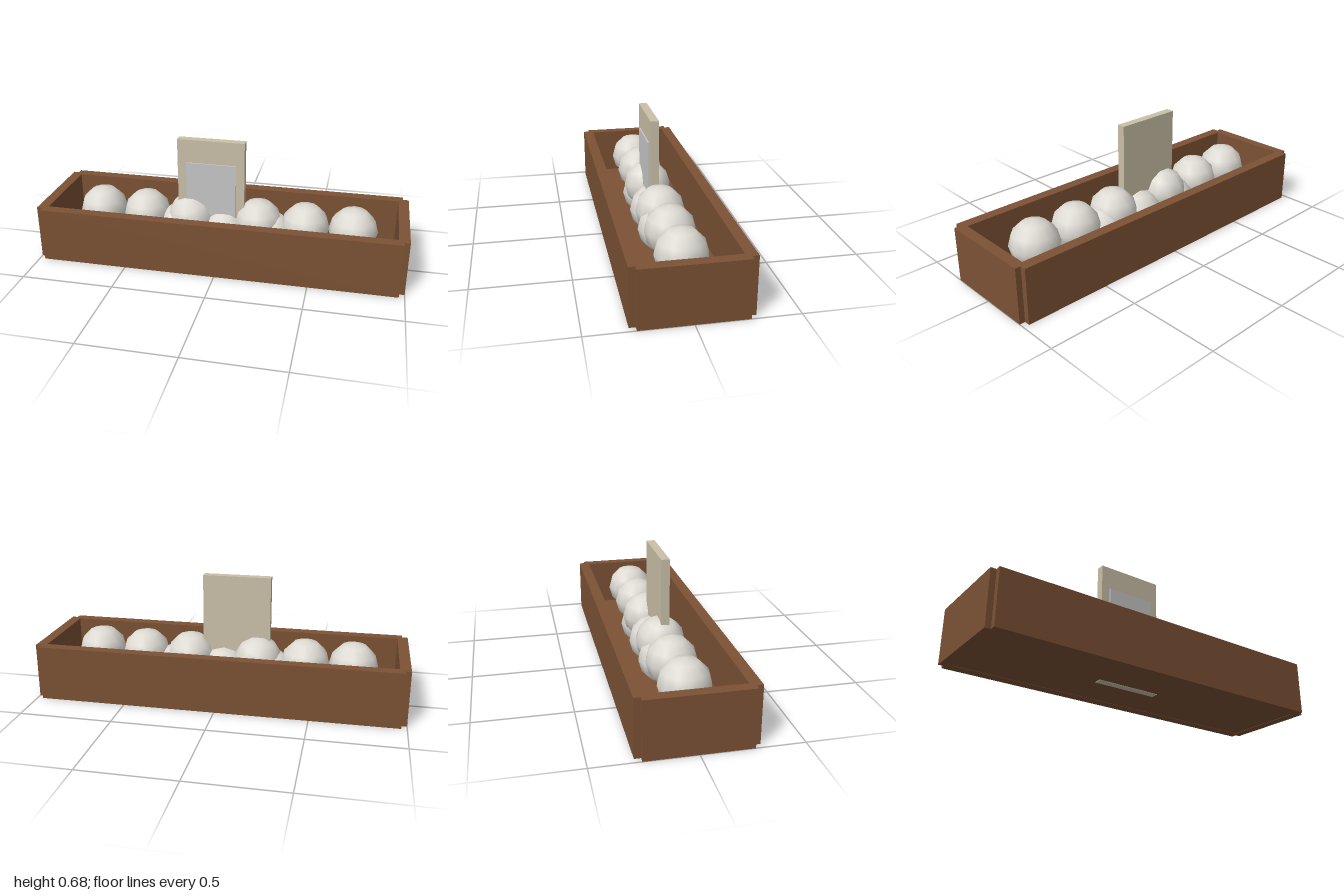
import * as THREE from 'three';

export function createModel() {
  const group = new THREE.Group();
  const material = (name, color) => {
    const m = new THREE.MeshStandardMaterial({ color });
    m.name = name;
    return m;
  };
  const wood = material('brown wood', 0x7b5134);
  const board = material('beige board', 0xcac0a8);
  const paper = material('grey label', 0xc6c6c6);
  const shell = material('off-white ball', 0xdddad3);

  const add = (name, geometry, mat, x = 0, y = 0, z = 0) => {
    const mesh = new THREE.Mesh(geometry, mat);
    mesh.name = name;
    mesh.position.set(x, y, z);
    group.add(mesh);
    return mesh;
  };
  const points = list => list.map(([x, y]) => new THREE.Vector2(x, y));

  // Tray walls: the long boards and end boards leave a small notch at each corner
  const outline = new THREE.Shape(points([
    [-1, -0.26], [-0.97, -0.26], [-0.97, -0.292], [0.97, -0.292], [0.97, -0.26], [1, -0.26],
    [1, 0.26], [0.97, 0.26], [0.97, 0.292], [-0.97, 0.292], [-0.97, 0.26], [-1, 0.26],
  ]));
  outline.holes.push(new THREE.Path(points([
    [-0.943, -0.233], [-0.943, 0.233], [0.943, 0.233], [0.943, -0.233],
  ])));
  const walls = new THREE.ExtrudeGeometry(outline, { depth: 0.3, bevelEnabled: false });
  walls.rotateX(-Math.PI / 2);
  add('trayWalls', walls, wood);
  add('trayFloor', new THREE.BoxGeometry(1.89, 0.03, 0.47), wood, 0, 0.017, 0);

  // Balls: a lower row in the middle with an upper row on top
  const ball = new THREE.SphereGeometry(0.133, 12, 6);
  for (const x of [-0.26, 0, 0.26]) add('lowerBall', ball, shell, x, 0.136, 0);
  for (const x of [-0.71, -0.45, -0.19, 0.19, 0.45, 0.71]) {
    const mesh = add('upperBall', ball, shell, x, 0.21, 0);
    if (x === -0.19) mesh.rotation.z = Math.PI / 12;
  }

  // Upright sign with a label on its front; its foot reaches through the floor
  add('signBoard', new THREE.BoxGeometry(0.37, 0.675, 0.045), board, -0.07, 0.3375, 0.0125);
  add('signLabel', new THREE.BoxGeometry(0.275, 0.415, 0.008), paper, -0.068, 0.3375, 0.039);

  return group;
}
